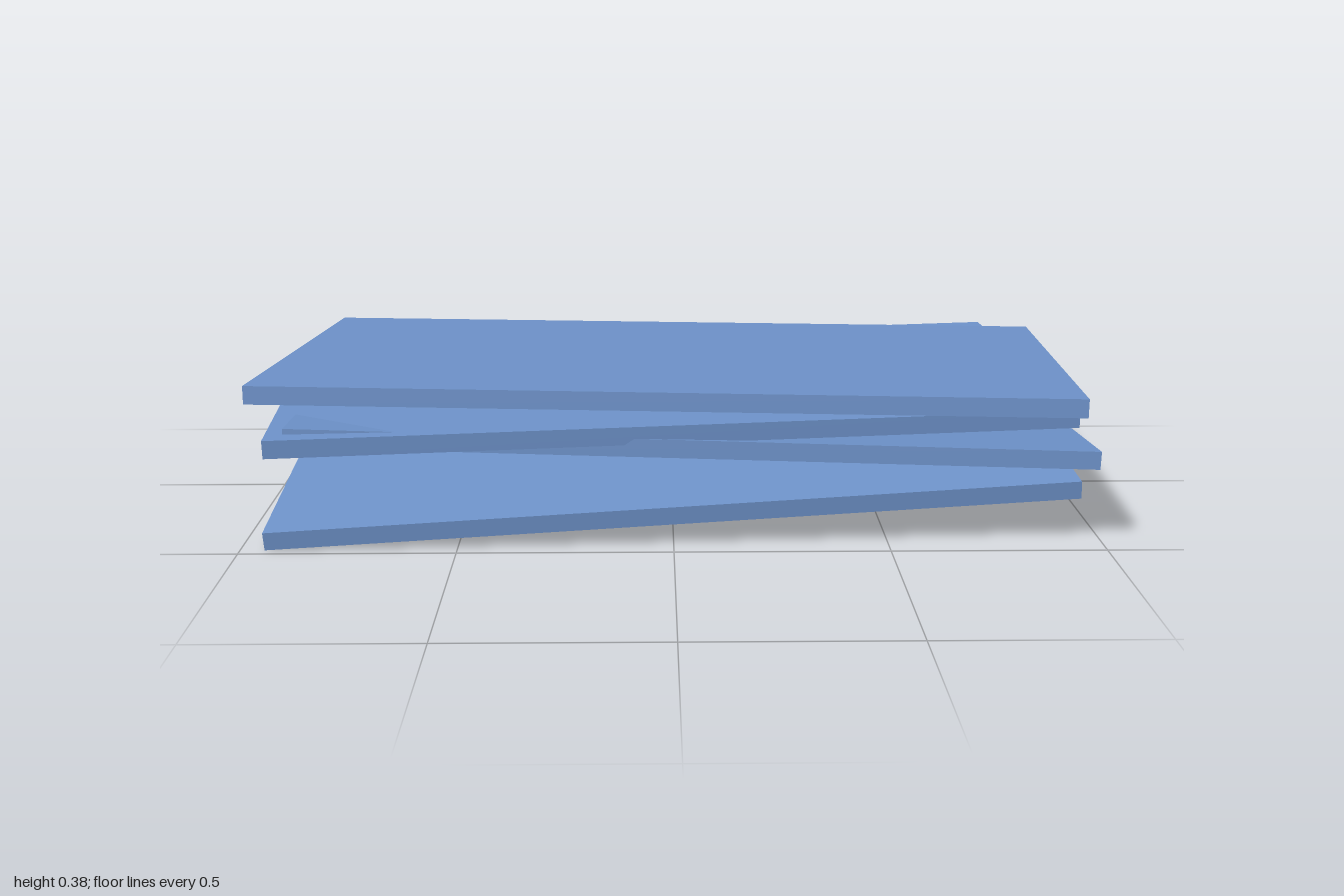
import * as THREE from 'three';

const LENGTH = 1.895, DEPTH = 0.908, THICK = 0.043;
const LIP_DEPTH = 0.018, LIP_THICK = 0.021;

// One panel: a flat slab with a thin lip along its back edge
function makePanel(name, material) {
  const panel = new THREE.Group();
  panel.name = name;

  const slab = new THREE.Mesh(new THREE.BoxGeometry(LENGTH, THICK, DEPTH), material);
  slab.name = 'slab';

  const lip = new THREE.Mesh(new THREE.BoxGeometry(LENGTH, LIP_THICK, LIP_DEPTH), material);
  lip.name = 'backLip';
  lip.position.z = -(DEPTH + LIP_DEPTH) / 2;

  panel.add(slab, lip);
  return panel;
}

export function createModel() {
  const model = new THREE.Group();
  model.name = 'panelStack';
  const blue = new THREE.MeshStandardMaterial({ color: 0x6f94cc });
  blue.name = 'blue';

  // Loosely stacked panels, bottom to top: centre, then pitch, yaw, roll
  const panels = [
    { name: 'bottomPanel', at: [-0.01, 0.109, 0.006], turn: [0.072, 0.025, 0.055] },
    { name: 'lowerMiddlePanel', at: [0.0425, 0.19, -0.034], turn: [-0.075, 0.018, -0.038] },
    { name: 'upperMiddlePanel', at: [-0.02, 0.262, -0.041], turn: [0.007, 0.072, 0.014] },
    { name: 'topPanel', at: [0, 0.34, 0.0525], turn: [-0.05, -0.072, 0] },
  ];
  for (const { name, at, turn } of panels) {
    const panel = makePanel(name, blue);
    panel.position.set(...at);
    panel.rotation.set(...turn, 'YXZ');
    model.add(panel);
  }
  return model;
}
